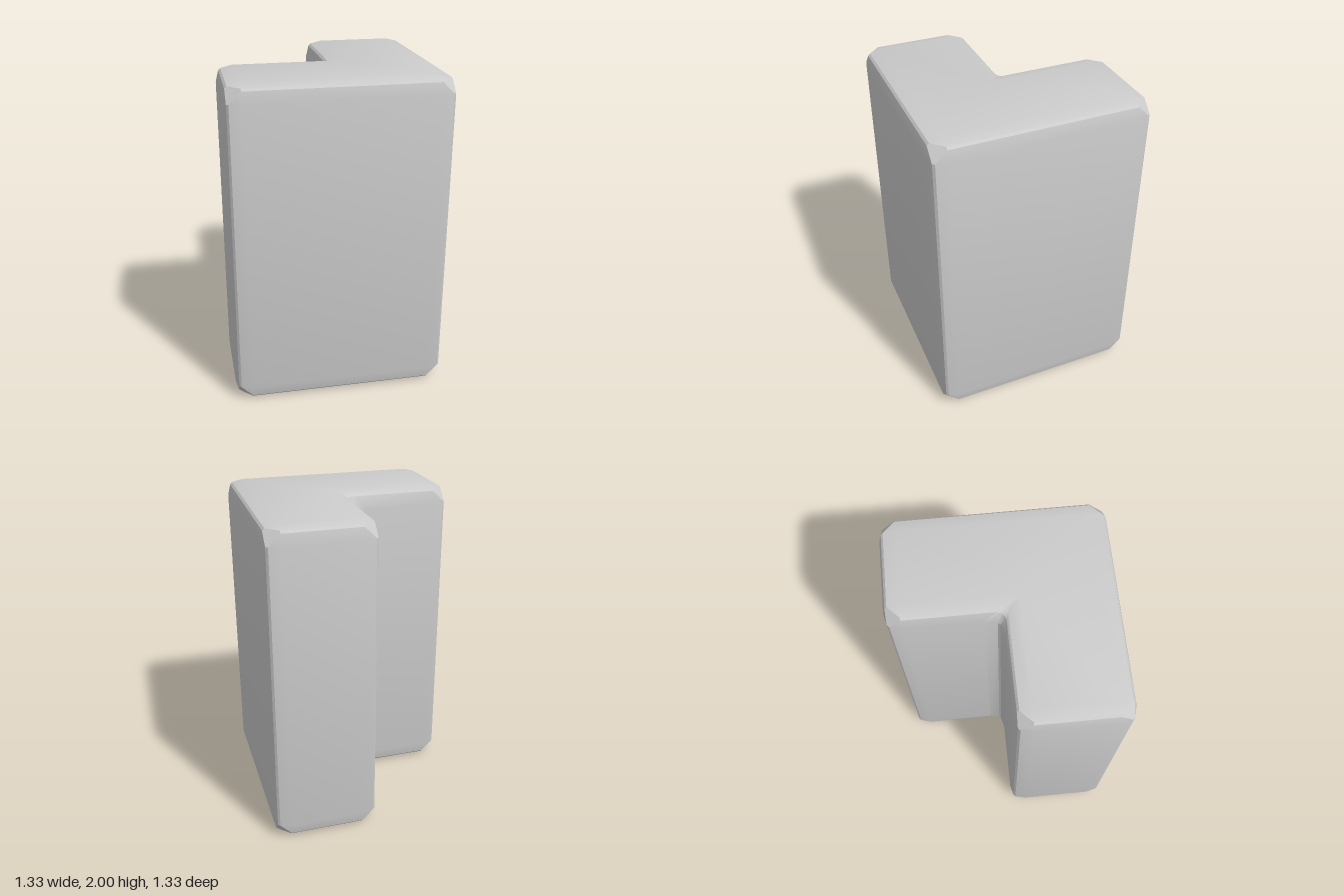
import * as THREE from 'three';
import { toCreasedNormals } from 'three/addons/utils/BufferGeometryUtils.js';

const D = 0.665, H = 2;

// Plan of the L, counter-clockwise from above; the fifth corner is the inner one.
const OUTLINE = [[-D, D], [D, D], [D, -D], [0, -D], [0, 0], [-D, 0]];
const INNER = 4;

// Each level: height, then corner points as [back along the incoming wall, forward along the outgoing wall].
const LEVELS = [
  { y: 0,
    outer: [[0.1, 0.1], [0.1, 0.1], [0.1, 0.1], [0.1, 0.1]],
    inner: [[-0.1, -0.1], [-0.1, -0.1], [-0.1, -0.1], [-0.1, -0.1]] },
  { y: 0.017,
    outer: [[0.1, 0.03], [0.1, 0.03], [0.03, 0.1], [0.03, 0.1]],
    inner: [[0, -0.03], [-0.015, -0.03], [-0.03, -0.015], [-0.03, 0]] },
  { y: 0.03,
    outer: [[0.1, 0.017], [0.1, 0.017], [0.017, 0.1], [0.017, 0.1]],
    inner: [[0.03, -0.017], [0.003, -0.005], [-0.005, 0.003], [-0.017, 0.03]] },
  { y: 0.1,
    outer: [[0.1, 0], [0.03, 0.017], [0.017, 0.03], [0, 0.1]],
    inner: [[0.1, 0], [0.03, 0.017], [0.017, 0.03], [0, 0.1]] },
];

// One closed cross-section: four points for each corner
function makeRing(level, y) {
  const n = OUTLINE.length, ring = [];
  for (let i = 0; i < n; i++) {
    const at = new THREE.Vector2(...OUTLINE[i]);
    const back = new THREE.Vector2(...OUTLINE[(i + n - 1) % n]).sub(at).normalize();
    const ahead = new THREE.Vector2(...OUTLINE[(i + 1) % n]).sub(at).normalize();
    for (const [a, b] of i === INNER ? level.inner : level.outer) {
      const p = at.clone().addScaledVector(back, a).addScaledVector(ahead, b);
      ring.push(new THREE.Vector3(p.x, y, p.y));
    }
  }
  return ring;
}

function bevelledBlock() {
  const rings = [
    ...LEVELS.map(l => makeRing(l, l.y)),
    ...[...LEVELS].reverse().map(l => makeRing(l, H - l.y)),
  ];
  const positions = [];
  // Adds a triangle unless coinciding points make it empty
  const tri = (a, b, c) => {
    if (new THREE.Triangle(a, b, c).getArea() < 1e-8) return;
    for (const p of [a, b, c]) positions.push(p.x, p.y, p.z);
  };

  // Walls and bevels
  for (let r = 0; r + 1 < rings.length; r++) {
    const low = rings[r], high = rings[r + 1];
    for (let i = 0; i < low.length; i++) {
      const j = (i + 1) % low.length;
      tri(low[i], low[j], high[j]);
      tri(low[i], high[j], high[i]);
    }
  }

  // Flat top and bottom, fanned from the inner corner
  const bottom = rings[0], top = rings[rings.length - 1];
  for (let k = 1; k < 5; k++) {
    const a = INNER * 4, b = ((INNER + k) % 6) * 4, c = ((INNER + k + 1) % 6) * 4;
    tri(top[a], top[b], top[c]);
    tri(bottom[a], bottom[c], bottom[b]);
  }

  const geometry = new THREE.BufferGeometry();
  geometry.setAttribute('position', new THREE.Float32BufferAttribute(positions, 3));
  return toCreasedNormals(geometry, 0.45);
}

export function createModel() {
  const group = new THREE.Group();
  group.name = 'cornerBlock';
  const block = new THREE.Mesh(bevelledBlock(), new THREE.MeshStandardMaterial({ color: 0xcccccc }));
  block.name = 'bevelledCornerBlock';
  group.add(block);
  return group;
}
